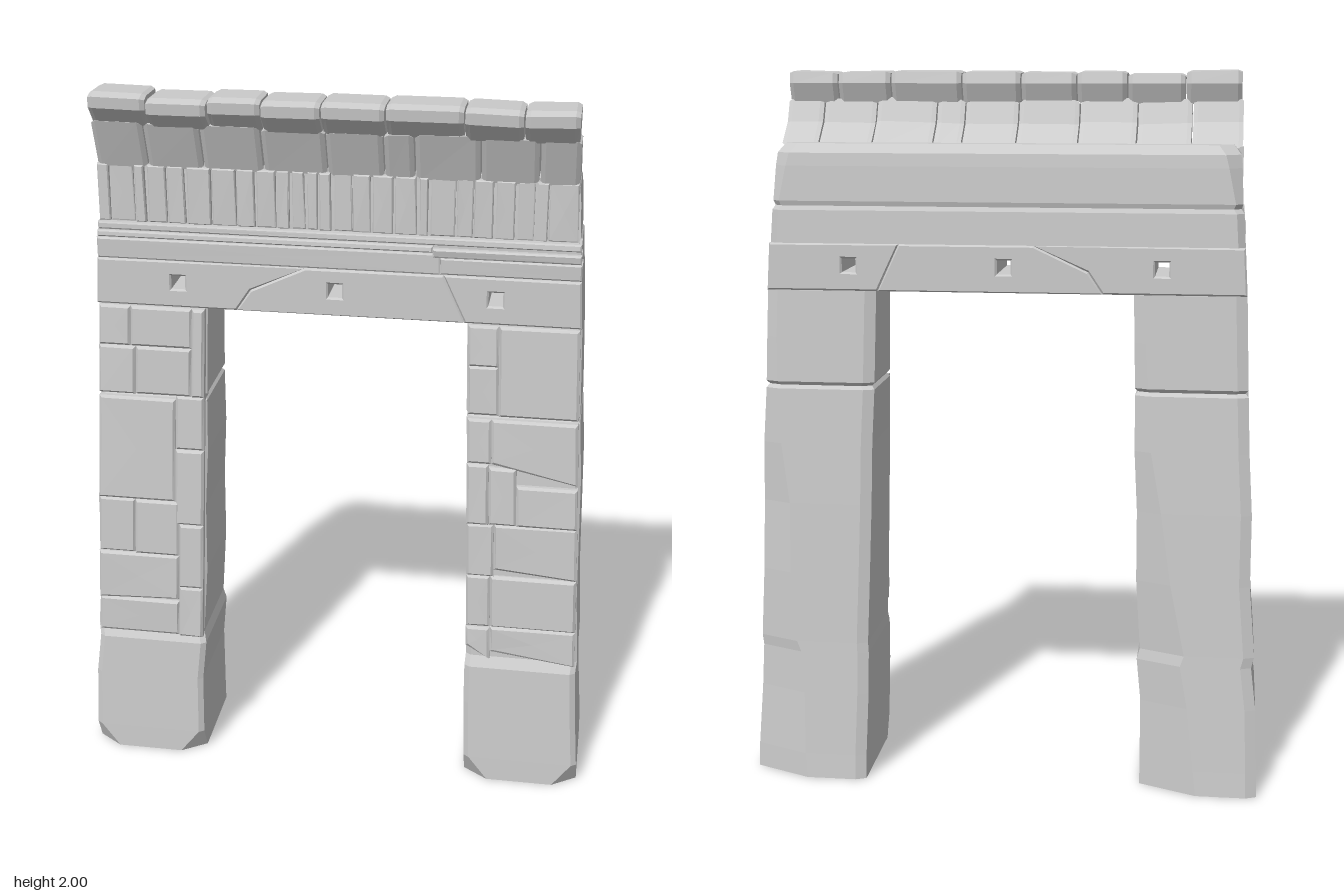
import * as THREE from 'three';

const mat = new THREE.MeshStandardMaterial({ color: 0xcccccc, flatShading: true, side: THREE.DoubleSide });
let seed = 7;
const rnd = () => (seed = (seed * 16807) % 2147483647) / 2147483647;
const jit = (a) => (rnd() - 0.5) * 2 * a;
const lerp = THREE.MathUtils.lerp;

function add(group, geo, name) {
  const m = new THREE.Mesh(geo, mat);
  m.name = name;
  group.add(m);
  return m;
}

function subgroup(parent, name) {
  const g = new THREE.Group();
  g.name = name;
  parent.add(g);
  return g;
}

// Closed solid through rings of [x, y, z] points, capped at both ends, faces turned outwards
function loft(rings) {
  const n = rings[0].length, tris = [];
  for (let i = 0; i < rings.length - 1; i++) {
    for (let j = 0; j < n; j++) {
      const k = (j + 1) % n, a = rings[i], b = rings[i + 1];
      tris.push([a[j], a[k], b[k]], [a[j], b[k], b[j]]);
    }
  }
  const mid = (r) => [0, 1, 2].map((c) => r.reduce((s, p) => s + p[c], 0) / n);
  const first = rings[0], last = rings[rings.length - 1], m0 = mid(first), m1 = mid(last);
  for (let j = 0; j < n; j++) {
    const k = (j + 1) % n;
    tris.push([m0, first[k], first[j]], [m1, last[j], last[k]]);
  }
  const v = (p, q) => new THREE.Vector3(p[0] - q[0], p[1] - q[1], p[2] - q[2]);
  const volume = tris.reduce((s, [a, b, c]) => s + v(a, m0).dot(v(b, m0).cross(v(c, m0))), 0);
  if (volume < 0) tris.forEach((t) => t.reverse());
  const geo = new THREE.BufferGeometry();
  geo.setAttribute('position', new THREE.Float32BufferAttribute(tris.flat(2), 3));
  geo.computeVertexNormals();
  return geo;
}

// Dressed stone with a bevelled front: four [x, y] corners, back depth, front depth at a height
function stone(corners, zBack, zFront, bevel) {
  const cx = corners.reduce((s, p) => s + p[0], 0) / 4, cy = corners.reduce((s, p) => s + p[1], 0) / 4;
  const inset = corners.map(([x, y]) => [x - Math.sign(x - cx) * bevel, y - Math.sign(y - cy) * bevel]);
  return loft([
    corners.map(([x, y]) => [x, y, zBack]),
    corners.map(([x, y]) => [x, y, zFront(y) - bevel]),
    inset.map(([x, y]) => [x, y, zFront(y) + jit(0.002)]),
  ]);
}

// Pillar rows: height, inner x, outer x, front z, back z
const ROWS = [
  [0, 0.39, 0.72, 0.18, -0.2],
  [0.07, 0.39, 0.718, 0.178, -0.195],
  [0.38, 0.382, 0.7, 0.164, -0.175],
  [0.8, 0.37, 0.685, 0.148, -0.155],
  [1.13, 0.362, 0.67, 0.13, -0.138],
  [1.4, 0.355, 0.66, 0.115, -0.128],
];
function rowAt(y) {
  let i = 0;
  while (i < ROWS.length - 2 && y > ROWS[i + 1][0]) i++;
  const a = ROWS[i], b = ROWS[i + 1], t = (y - a[0]) / (b[0] - a[0]);
  return a.map((q, c) => lerp(q, b[c], t));
}

// Pillar: chamfered tapering core with a course seam, faced with stones
function buildPillar(side, name, courses) {
  const g = new THREE.Group();
  g.name = name;
  const heights = [0, 0.07, 0.25, 0.37, 0.4, 0.6, 0.8, 0.97, 1.125, 1.135, 1.145, 1.27, 1.4];
  const rings = heights.map((y) => {
    const [, a, b, f, k] = rowAt(y);
    const seam = y === 1.135 ? 0.008 : 0;
    const wob = y > 0.1 && y < 1.1 ? 0.005 : 0;
    const xi = a + seam + jit(wob), xo = b - seam - jit(wob);
    const zf = f - (y > 0.38 ? 0.016 : 0) - seam, zb = k + seam;
    const cf = y === 0 ? 0.07 : 0.015;
    const big = lerp(0.16, 0.03, Math.min(1, y / 1.2)) + jit(wob * 2), small = 0.03;
    const ci = side > 0 ? small : big, co = side > 0 ? big : small;
    return [
      [xi + cf, zf], [xo - cf, zf], [xo, zf - cf * 0.7], [xo, zb + co * 0.45],
      [xo - co, zb], [xi + ci, zb], [xi, zb + ci * 0.45], [xi, zf - cf * 0.7],
    ].map(([x, z]) => [side * x, y, z]);
  });
  add(g, loft(rings), 'pillarCore');
  // Facing stones: [u0, u1, y0, y1, slant], u running from the inner to the outer edge
  for (const [u0, u1, y0, y1, slant = 0] of courses) {
    const at = (u, y) => {
      const [, a, b] = rowAt(y);
      return [side * lerp(a + 0.004, b - 0.004, u), y];
    };
    const lift = jit(0.005);
    const corners = [at(u0, y0 + slant), at(u1, y0), at(u1, y1), at(u0, y1)];
    add(g, stone(corners, rowAt(y0)[3] - 0.07, (y) => rowAt(y)[3] + lift, 0.007), 'facingStone');
  }
  return g;
}

// Lintel block cut from an outline, with a square through-hole
function lintelBlock(outline, holeX) {
  const shape = new THREE.Shape(outline.map((p) => new THREE.Vector2(...p)));
  const h = 0.019, y = 1.47;
  shape.holes.push(new THREE.Path([[-h, -h], [-h, h], [h, h], [h, -h]].map(([a, b]) => new THREE.Vector2(holeX + a, y + b))));
  const bevel = 0.005;
  const geo = new THREE.ExtrudeGeometry(shape, {
    depth: 0.23, bevelEnabled: true, bevelSize: bevel, bevelOffset: -bevel, bevelThickness: bevel, bevelSegments: 1,
  });
  return geo.translate(0, 0, -0.12);
}

// Row of rough cornice blocks: a [z, y] section carried between the given x joints
function corniceRow(group, joints, section, rough, name) {
  for (let i = 0; i < joints.length - 1; i++) {
    const x0 = joints[i] + 0.002, x1 = joints[i + 1] - 0.002;
    const dz = jit(rough), drop = rnd() * rough, b = 0.012;
    const cz = section.reduce((s, p) => s + p[0], 0) / section.length;
    const cy = section.reduce((s, p) => s + p[1], 0) / section.length;
    const ring = (x, k, tilt) => section.map(([z, y]) => [
      x, cy + (y - cy) * k - (y > cy ? drop + tilt : 0), cz + (z - cz) * k + (z > cz ? Math.min(dz, 0.002) : 0),
    ]);
    const t0 = rnd() * rough, t1 = rnd() * rough;
    add(group, loft([ring(x0, 0.88, t0), ring(x0 + b, 1, t0), ring(x1 - b, 1, t1), ring(x1, 0.88, t1)]), name);
  }
}

export function createModel() {
  const model = new THREE.Group();
  model.name = 'ruinedGateway';

  model.add(buildPillar(1, 'leftPillar', [
    [0, 0.28, 1.28, 1.395], [0.28, 1, 1.14, 1.395], [0, 0.28, 1.14, 1.28],
    [0, 0.22, 1.0, 1.13], [0.22, 1, 0.95, 1.13, 0.05],
    [0, 0.2, 0.82, 1.0], [0.2, 0.45, 0.82, 0.99], [0.45, 1, 0.82, 0.94],
    [0, 0.25, 0.66, 0.82], [0.25, 1, 0.66, 0.82, 0.02],
    [0, 0.22, 0.5, 0.66], [0.22, 1, 0.5, 0.66],
    [0, 0.22, 0.4, 0.5, 0.04], [0.22, 1, 0.39, 0.5, 0.03],
  ]));
  model.add(buildPillar(-1, 'rightPillar', [
    [0, 0.12, 1.14, 1.395], [0.12, 0.7, 1.28, 1.395], [0.7, 1, 1.28, 1.395], [0.12, 0.65, 1.14, 1.28], [0.65, 1, 1.14, 1.28],
    [0, 0.27, 0.98, 1.14], [0.27, 1, 0.82, 1.13], [0, 0.27, 0.75, 0.98],
    [0, 0.23, 0.55, 0.75], [0.23, 0.65, 0.65, 0.82], [0.65, 1, 0.65, 0.82],
    [0.23, 1, 0.5, 0.65, 0.01], [0, 0.23, 0.39, 0.55], [0.23, 1, 0.39, 0.5],
  ]));

  // Lintel of three interlocking blocks
  const lintel = subgroup(model, 'lintel');
  add(lintel, lintelBlock([[-0.66, 1.4], [-0.27, 1.4], [-0.23, 1.46], [-0.08, 1.53], [-0.652, 1.53]], -0.43), 'lintelRightBlock');
  add(lintel, lintelBlock([[-0.27, 1.4], [0.35, 1.4], [0.29, 1.53], [-0.08, 1.53], [-0.23, 1.46]], 0), 'lintelCentreBlock');
  add(lintel, lintelBlock([[0.35, 1.4], [0.66, 1.4], [0.652, 1.53], [0.29, 1.53]], 0.43), 'lintelLeftBlock');

  // Upper wall core with worn back edge and ends
  const wall = [
    [1.53, 0.652, 0.1, -0.122, 0.02], [1.62, 0.646, 0.1, -0.118, 0.02], [1.632, 0.638, 0.095, -0.112, 0.02],
    [1.645, 0.643, 0.095, -0.116, 0.02], [1.74, 0.638, 0.092, -0.112, 0.035], [1.775, 0.634, 0.09, -0.108, 0.04],
    [1.8, 0.615, 0.09, -0.085, 0.04],
  ].map(([y, x, f, b, c]) => [[-x, f], [x, f], [x, b + c], [x - c, b], [-x + c, b], [-x, b + c]].map(([px, pz]) => [px, y, pz]));
  add(model, loft(wall), 'upperWall');

  // Mouldings: plain band and projecting fillet, each broken once
  const band = subgroup(model, 'mouldings');
  for (const [x0, x1, y0, y1, z] of [
    [-0.652, 0.28, 1.53, 1.587, 0.111], [0.28, 0.652, 1.53, 1.575, 0.108],
    [-0.649, 0.26, 1.59, 1.608, 0.112], [0.26, 0.649, 1.578, 1.602, 0.116], [-0.647, 0.647, 1.61, 1.63, 0.108],
  ]) add(band, stone([[x0, y0], [x1, y0], [x1, y1], [x0, y1]], 0.05, () => z, 0.004), 'mouldingStrip');

  // Frieze of upright slats with narrow uneven gaps
  const frieze = subgroup(model, 'frieze');
  for (let x = -0.641; x < 0.63;) {
    let x1 = x + 0.024 + rnd() * 0.045;
    if (x1 > 0.61) x1 = 0.641;
    const z = 0.105 + jit(0.004), gap = 0.002 + rnd() * 0.006, taper = rnd() * 0.005;
    add(frieze, stone([[x, 1.635], [x1 - gap, 1.635], [x1 - gap - taper, 1.79], [x, 1.79]], 0.05, () => z, 0.003), 'friezeSlat');
    x = x1;
  }

  // Cornice: leaning lower course, overhanging upper course
  const cornice = subgroup(model, 'cornice');
  corniceRow(cornice, [-0.64, -0.5, -0.35, -0.19, -0.02, 0.13, 0.21, 0.38, 0.53, 0.635],
    [[0.1, 1.785], [0.15, 1.92], [0.075, 1.925], [0.045, 1.86], [-0.03, 1.79]], 0.006, 'lowerCorniceBlock');
  corniceRow(cornice, [-0.635, -0.48, -0.32, -0.18, -0.025, 0.14, 0.34, 0.49, 0.63],
    [[0.145, 1.905], [0.192, 1.965], [0.195, 1.995], [0.165, 2.003], [0.06, 2.0], [0.052, 1.96], [0.075, 1.905]], 0.009, 'upperCorniceBlock');

  return model;
}
